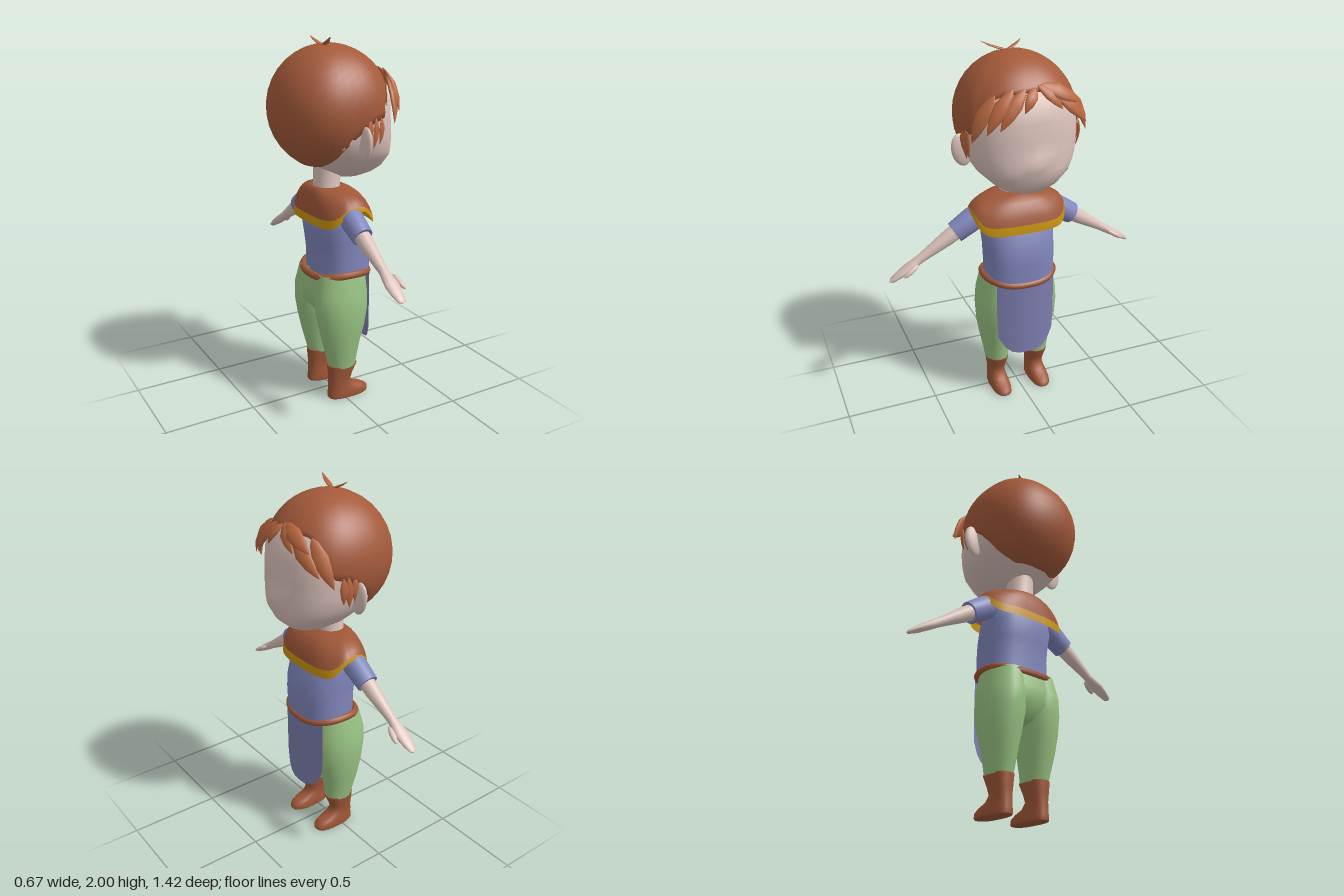
import * as THREE from 'three';

const mat = (name, color, side = THREE.FrontSide) =>
  Object.assign(new THREE.MeshStandardMaterial({ color, side }), { name });
const skin = mat('skin', 0xdac1b9);
const hairMat = mat('hair', 0xa45a3a, THREE.DoubleSide);
const lockMat = mat('hairLocks', 0xb9673f);
const leather = mat('leather', 0x9e5637, THREE.DoubleSide);
const gold = mat('goldTrim', 0xc9930f, THREE.DoubleSide);
const shirt = mat('shirtCloth', 0x8086bb);
const apronMat = mat('apronCloth', 0x7c7cae, THREE.DoubleSide);
const green = mat('trouserCloth', 0x99c383);

function part(parent, name, geometry, material) {
  const mesh = new THREE.Mesh(geometry, material);
  mesh.name = name;
  parent.add(mesh);
  return mesh;
}

// Surface through rows of points, bottom row first; closed rows wrap round.
function grid(rows, closed = true) {
  const n = rows[0].length, idx = [];
  for (let r = 0; r < rows.length - 1; r++) {
    for (let i = 0; i < (closed ? n : n - 1); i++) {
      const j = (i + 1) % n, a = r * n + i, b = r * n + j;
      idx.push(a, b, b + n, a, b + n, a + n);
    }
  }
  const g = new THREE.BufferGeometry();
  g.setAttribute('position', new THREE.Float32BufferAttribute(rows.flat(2), 3));
  g.setIndex(idx);
  g.computeVertexNormals();
  return g;
}

const power = (v, p) => Math.sign(v) * Math.abs(v) ** (2 / p);
const around = (n, fn) => Array.from({ length: n }, (_, i) => fn((i / n) * Math.PI * 2));

// Stack of rounded rings: [y, half width, back z, front z, centre x]
const loft = (rings, p = 2, n = 24) => grid(rings.map(([y, rx, zb, zf, cx = 0]) =>
  around(n, a => [cx + rx * power(Math.sin(a), p), y, (zb + zf) / 2 + (zf - zb) / 2 * power(Math.cos(a), p)])));

// Flattened pointed lock of hair between two points
function lock(parent, name, from, to, width, center, bulge = 0.02) {
  const a = new THREE.Vector3(...from), b = new THREE.Vector3(...to);
  const Y = b.clone().sub(a), len = Y.length();
  Y.normalize();
  const Z = a.clone().add(b).multiplyScalar(0.5).sub(center);
  Z.addScaledVector(Y, -Z.dot(Y)).normalize();
  const X = new THREE.Vector3().crossVectors(Y, Z);
  const g = loft([[0, 0.05], [0.12, 0.55], [0.4, 1], [0.7, 0.75], [0.9, 0.3], [1, 0]].map(([t, r]) => {
    const z = Math.sin(t * Math.PI) * bulge, h = r * width * 0.4;
    return [t * len, r * width, z - h, z + h];
  }), 2, 10);
  g.applyMatrix4(new THREE.Matrix4().makeBasis(X, Y, Z).setPosition(a));
  part(parent, name, g, lockMat);
}

function buildHead(fig) {
  const head = new THREE.Group();
  head.name = 'head';
  fig.add(head);

  // Face with a soft pointed nose
  const face = loft([
    [1.255, 0, 0.09, 0.11], [1.258, 0.06, 0.03, 0.17], [1.285, 0.12, -0.03, 0.235], [1.32, 0.175, -0.09, 0.275],
    [1.38, 0.238, -0.15, 0.302], [1.42, 0.262, -0.19, 0.303], [1.46, 0.28, -0.22, 0.3], [1.5, 0.29, -0.24, 0.297],
    [1.57, 0.298, -0.27, 0.293], [1.66, 0.3, -0.29, 0.288], [1.77, 0.265, -0.26, 0.262],
    [1.86, 0.18, -0.2, 0.18], [1.91, 0, -0.02, 0]], 2.35, 36);
  const pos = face.attributes.position;
  for (let i = 0; i < pos.count; i++) {
    const x = pos.getX(i), y = pos.getY(i), z = pos.getZ(i);
    if (z > 0.2) pos.setZ(i, z + 0.034 * Math.exp(-((x / 0.06) ** 2) - ((y - 1.46) / 0.035) ** 2));
  }
  face.computeVertexNormals();
  part(head, 'face', face, skin);
  part(head, 'neck', loft([[1.16, 0.1, -0.12, 0.06], [1.22, 0.078, -0.1, 0.04], [1.36, 0.075, -0.1, 0.05]]), skin);

  // Hair shell: a rounded cap whose lower edge drops from brow to nape
  const center = new THREE.Vector3(0, 1.63, -0.02);
  const edge = [[0, 57], [35, 60], [50, 74], [60, 95], [78, 99], [92, 112], [108, 136], [130, 149], [181, 151]];
  const limit = a => {
    const d = THREE.MathUtils.radToDeg(Math.min(a, Math.PI * 2 - a));
    const k = edge.findIndex(e => e[0] > d);
    const [d0, l0] = edge[k - 1], [d1, l1] = edge[k];
    return THREE.MathUtils.degToRad(l0 + (l1 - l0) * (d - d0) / (d1 - d0));
  };
  const capRow = (t, s) => around(48, a => {
    const q = limit(a) * t, h = Math.sin(q) * s;
    return [0.312 * h * power(Math.sin(a), 2.3), 1.63 + 0.328 * Math.cos(q) * s, -0.02 + 0.312 * h * power(Math.cos(a), 2.3)];
  });
  const rows = [capRow(1, 0.86)];
  for (let i = 14; i >= 0; i--) rows.push(capRow(i / 14, 1));
  part(head, 'hair', grid(rows), hairMat);

  // Fringe parted near the middle
  [[[0, 1.83, 0.25], [-0.07, 1.72, 0.295], 0.03],
    [[-0.05, 1.83, 0.25], [-0.19, 1.64, 0.28], 0.038],
    [[-0.11, 1.83, 0.24], [-0.25, 1.62, 0.255], 0.04],
    [[-0.19, 1.8, 0.21], [-0.305, 1.57, 0.19], 0.04],
    [[0.01, 1.84, 0.25], [0.13, 1.72, 0.29], 0.032],
    [[0.02, 1.84, 0.25], [0.23, 1.74, 0.265], 0.042],
    [[0.1, 1.79, 0.265], [0.28, 1.63, 0.245], 0.038],
    [[0.18, 1.8, 0.215], [0.31, 1.57, 0.18], 0.042],
  ].forEach(([a, b, w]) => lock(head, 'fringeLock', a, b, w, center));

  // Ears and sideburns
  for (const s of [1, -1]) {
    const ear = part(head, s > 0 ? 'leftEar' : 'rightEar', new THREE.SphereGeometry(1, 20, 14), skin);
    ear.scale.set(0.055, 0.088, 0.022);
    ear.position.set(s * 0.3, 1.485, 0.02);
    ear.rotation.z = -0.2 * s;
    [[0.05, 0.04, 1.47], [0.085, 0.075, 1.45], [0.115, 0.11, 1.47]].forEach(([z0, z1, y]) =>
      lock(head, 'sideburnLock', [s * 0.298, 1.61, z0], [s * 0.292, y, z1], 0.021, center, 0.01));
  }

  // Two loose hairs on the crown
  const below = new THREE.Vector3(0, 1.5, -0.06);
  lock(head, 'crownTuft', [0, 1.945, -0.055], [-0.155, 1.998, -0.095], 0.015, below, -0.008);
  lock(head, 'crownTuft', [-0.04, 1.945, -0.055], [0.065, 1.994, -0.09], 0.015, below, -0.008);
}

function buildBody(fig) {
  part(fig, 'shirt', loft([[0.73, 0.193, -0.115, 0.188], [0.85, 0.193, -0.117, 0.193], [0.93, 0.194, -0.127, 0.188],
    [1.02, 0.2, -0.138, 0.16], [1.1, 0.19, -0.12, 0.12], [1.165, 0.12, -0.09, 0.07], [1.19, 0, -0.02, 0]], 2.5), shirt);

  // Shoulder mantle, arched over the arms, with a gold hem
  const mantleRow = t => around(40, a => {
    const s = Math.sin(a), c = Math.cos(a), h = Math.sin(t * Math.PI / 2), v = 1 - Math.cos(t * Math.PI / 2);
    const hem = 1.028 + 0.1 * Math.abs(s) ** 8;
    return [THREE.MathUtils.lerp(0.08 * s, 0.265 * power(s, 2.9), h), THREE.MathUtils.lerp(1.217, hem, v),
      THREE.MathUtils.lerp(-0.03 + 0.072 * c, 0.007 + 0.163 * power(c, 2.9), h)];
  });
  part(fig, 'mantle', grid([0.84, 0.7, 0.55, 0.4, 0.25, 0.1, 0].map(mantleRow)), leather);
  part(fig, 'mantleTrim', grid([1, 0.92, 0.84].map(mantleRow)), gold);

  // Belt dips slightly at front and back
  const loop = around(24, a => new THREE.Vector3(0.195 * power(Math.sin(a), 2.4),
    0.728 + 0.024 * Math.sin(a) ** 2, 0.022 + 0.158 * power(Math.cos(a), 2.4)));
  part(fig, 'belt', new THREE.TubeGeometry(new THREE.CatmullRomCurve3(loop, true), 72, 0.02, 8, true), leather);

  // Curved apron with a rounded bottom
  const apron = [[0.3, 0.05], [0.31, 0.09], [0.34, 0.125], [0.4, 0.16], [0.5, 0.166], [0.62, 0.167], [0.74, 0.165]]
    .map(([y, w]) => Array.from({ length: 13 }, (_, i) => {
      const x = w * (i / 6 - 1);
      return [x, y, 0.188 - 1.6 * x * x];
    }));
  part(fig, 'apron', grid(apron, false), apronMat);
  part(fig, 'trouserSeat', loft([[0.46, 0, -0.01, 0.01], [0.49, 0.1, -0.09, 0.08], [0.56, 0.2, -0.15, 0.13],
    [0.65, 0.21, -0.155, 0.14], [0.75, 0.195, -0.135, 0.14]], 2.4), green);
}

function buildLimbs(fig, s) {
  const side = s > 0 ? 'left' : 'right';
  part(fig, side + 'TrouserLeg', loft([[0.195, 0.066, -0.082, 0.078, 0.12], [0.25, 0.073, -0.097, 0.085, 0.121],
    [0.34, 0.088, -0.12, 0.1, 0.124], [0.44, 0.106, -0.142, 0.128, 0.123], [0.54, 0.116, -0.16, 0.147, 0.118],
    [0.63, 0.111, -0.162, 0.149, 0.115], [0.75, 0.098, -0.135, 0.14, 0.103]].map(r => [...r.slice(0, 4), s * r[4]])), green);

  // Boot: sole, toe, ankle and flared top
  part(fig, side + 'Boot', loft([[0, 0, 0, 0.02], [0, 0.052, -0.085, 0.155], [0.006, 0.055, -0.088, 0.16],
    [0.03, 0.054, -0.087, 0.157], [0.05, 0.051, -0.085, 0.125], [0.068, 0.048, -0.084, 0.075], [0.1, 0.046, -0.082, 0.045],
    [0.14, 0.053, -0.083, 0.055], [0.2, 0.062, -0.088, 0.083], [0.204, 0.06, -0.085, 0.08], [0.204, 0, -0.01, 0.01]]
    .map(r => [...r, s * 0.12]), 2.5), leather);

  // Arm runs along its own y axis, sloping down and outward
  const arm = new THREE.Group();
  arm.name = side + 'Arm';
  arm.position.set(s * 0.18, 1.115, -0.015);
  arm.rotation.z = -s * Math.atan2(0.53, -0.325);
  fig.add(arm);
  const tube = list => loft(list.map(([y, rx, rz]) => [y, rx, -rz, rz]), 2, 18);
  part(arm, side + 'Sleeve', tube([[-0.03, 0, 0], [-0.02, 0.055, 0.06], [0.07, 0.066, 0.064], [0.19, 0.06, 0.056],
    [0.192, 0.057, 0.053], [0.185, 0, 0]]), shirt);
  part(arm, side + 'Forearm', tube([[0.12, 0.047, 0.045], [0.25, 0.04, 0.041], [0.34, 0.031, 0.032], [0.42, 0.024, 0.025],
    [0.46, 0.023, 0.032], [0.51, 0.021, 0.04], [0.56, 0.017, 0.034], [0.61, 0.011, 0.022], [0.624, 0, 0]]), skin);
  const thumb = part(arm, side + 'Thumb', new THREE.SphereGeometry(1, 12, 10), skin);
  thumb.scale.set(0.014, 0.05, 0.016);
  thumb.position.set(0, 0.495, 0.05);
  thumb.rotation.x = 0.2;
}

export function createModel() {
  const root = new THREE.Group();
  root.name = 'childFigure';
  const fig = new THREE.Group();
  fig.name = 'figure';
  fig.rotation.y = Math.PI / 2; // the figure looks along +x
  root.add(fig);
  buildHead(fig);
  buildBody(fig);
  for (const s of [1, -1]) buildLimbs(fig, s);
  return root;
}
